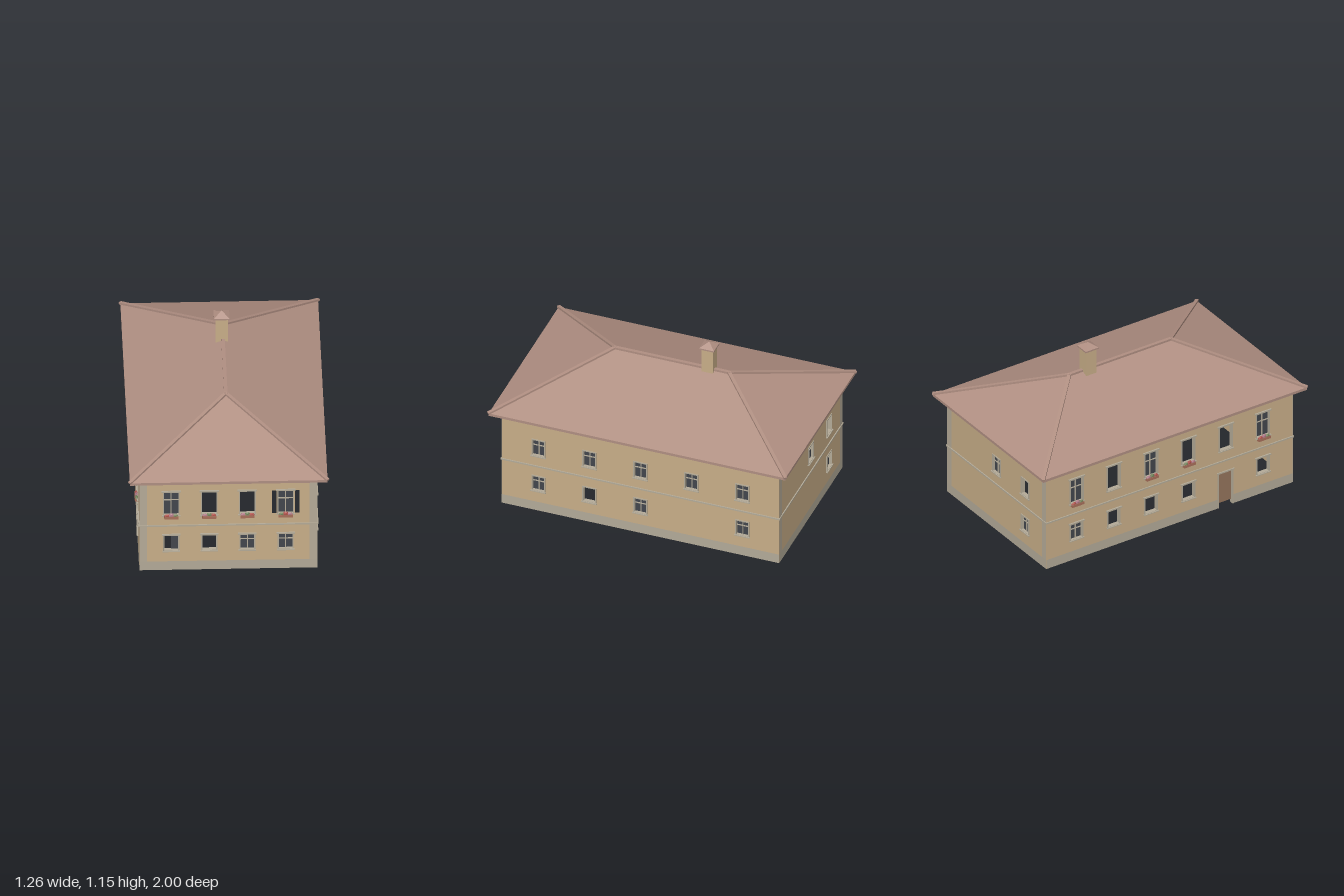
import * as THREE from 'three';

const mat = (color, extra = {}) => new THREE.MeshStandardMaterial({ color, roughness: 0.9, flatShading: true, ...extra });
const WALL = mat(0xc8ae88, { side: THREE.DoubleSide });
const TRIM = mat(0xb4ab98);
const QUOIN = mat(0xb5ab98, { side: THREE.DoubleSide });
const BASE = mat(0xb3aa98, { side: THREE.DoubleSide });
const ROOF = mat(0xb08f82);
const GLASS = mat(0x42464d);
const DOOR = mat(0x94745c);
const POT = mat(0xa86f5a);
const BLOOMS = [mat(0xb0524c), mat(0xb07a88), mat(0x74845c)];

const HX = 0.555, HZ = 0.925, WALL_TOP = 0.69, BASE_TOP = 0.065;

function add(parent, name, geo, material, x = 0, y = 0, z = 0) {
  const m = new THREE.Mesh(geo, material);
  m.name = name;
  m.position.set(x, y, z);
  parent.add(m);
  return m;
}
const box = (parent, name, material, w, h, d, x, y, z) =>
  add(parent, name, new THREE.BoxGeometry(w, h, d), material, x, y, z);

function rect(x0, y0, x1, y1, Type = THREE.Shape) {
  return new Type([[x0, y0], [x1, y0], [x1, y1], [x0, y1]].map(p => new THREE.Vector2(...p)));
}

// Flower box with three low mounds of blooms
function flowerBox(parent, u, y, k) {
  const g = new THREE.Group();
  g.name = 'flowerBox';
  box(g, 'planter', POT, 0.088, 0.018, 0.022, 0, -0.009, 0.013);
  for (let i = -1; i <= 1; i++) {
    const m = add(g, 'blooms', new THREE.IcosahedronGeometry(0.02, 0), BLOOMS[(i + 1 + k) % 3], i * 0.025, 0, 0.013);
    m.scale.set(1.05, i ? 0.75 : 1.15, 0.5);
  }
  g.position.set(u, y, 0);
  parent.add(g);
}

// Window: reveal frame, lintel, sill, and optional glazing (1 = full, 0.5 = one sash)
function windowUnit(parent, o) {
  const g = new THREE.Group();
  g.name = 'window';
  const { w, h } = o, f = 0.005;
  const frame = rect(-w / 2 - f, 0, w / 2 + f, h + f);
  frame.holes.push(rect(-w / 2 + f / 2, f / 2, w / 2 - f / 2, h - f / 2, THREE.Path));
  const frameGeo = new THREE.ExtrudeGeometry(frame, { depth: 0.028, bevelEnabled: false });
  add(g, 'frame', frameGeo, TRIM, 0, 0, -0.023);
  box(g, 'sill', TRIM, w + 0.02, 0.006, 0.016, 0, -0.003, 0.004);
  if (o.lintel) box(g, 'lintel', TRIM, w + 0.026, 0.009, 0.013, 0, h + 0.007, 0.004);
  if (o.glass) {
    const gw = w * o.glass, gx = (w - gw) / 2;
    box(g, 'glass', GLASS, gw, h, 0.006, gx, h / 2, -0.017);
    if (o.glass === 1) {
      box(g, 'mullion', TRIM, 0.006, h, 0.008, 0, h / 2, -0.012);
      box(g, 'transom', TRIM, w, 0.005, 0.008, 0, h * 0.63, -0.012);
    }
  }
  g.position.set(o.u, o.y, 0);
  parent.add(g);
  if (o.flowers !== undefined) flowerBox(parent, o.u, o.y, o.flowers);
}

// One wall plane with openings, plinth, corner strips and string course
function wall(root, name, half, dist, angle, windows, { door, slots = [], quoins } = {}) {
  const g = new THREE.Group();
  g.name = name;
  g.rotation.y = angle;
  g.position.set(Math.sin(angle) * dist, 0, Math.cos(angle) * dist);

  const dw = 0.055, dh = 0.25;
  const outline = (top, inset) => {
    const p = [[-half, 0]];
    if (door !== undefined) p.push([door - dw, 0], [door - dw, Math.min(top, dh)], [door + dw, Math.min(top, dh)], [door + dw, 0]);
    p.push([half, 0], [half, top], [-half, top]);
    return p.map(q => new THREE.Vector2(...q));
  };
  const shape = new THREE.Shape(outline(WALL_TOP));
  for (const o of windows) shape.holes.push(rect(o.u - o.w / 2, o.y, o.u + o.w / 2, o.y + o.h, THREE.Path));
  for (const s of slots) shape.holes.push(rect(s - 0.014, 0.417, s + 0.014, 0.586, THREE.Path));
  add(g, 'wallPanel', new THREE.ShapeGeometry(shape), WALL);

  // Plinth, split around a door
  const spans = door === undefined ? [[-half, half]] : [[-half, door - dw], [door + dw, half]];
  for (const [a, b] of spans)
    add(g, 'plinth', new THREE.ShapeGeometry(rect(a, 0, b, BASE_TOP)), BASE, 0, 0, 0.002);
  if (quoins) for (const s of [-1, 1])
    add(g, 'cornerStrip', new THREE.PlaneGeometry(0.048, WALL_TOP - BASE_TOP), QUOIN,
      s * (half - 0.024), (WALL_TOP + BASE_TOP) / 2, 0.002);
  box(g, 'stringCourse', TRIM, half * 2 + 0.012, 0.01, 0.008, 0, 0.335, 0.003);

  if (door !== undefined) {
    box(g, 'door', DOOR, dw * 2, dh - 0.025, 0.01, door, (dh + 0.025) / 2, -0.02);
    for (const s of [-1, 1]) box(g, 'doorJamb', TRIM, 0.007, dh, 0.03, door + s * dw, dh / 2, -0.01);
    box(g, 'doorLintel', TRIM, dw * 2 + 0.02, 0.01, 0.03, door, dh + 0.003, -0.008);
  }
  windows.forEach(o => windowUnit(g, o));
  root.add(g);
}

// Hipped roof from six triangles over a flat eaves slab
function roof(root) {
  const ex = 0.617, ez = 0.99, y0 = 0.703, y1 = 0.95, r = 0.38;
  const A = [-ex, y0, ez], B = [ex, y0, ez], C = [ex, y0, -ez], D = [-ex, y0, -ez];
  const R1 = [0, y1, r], R2 = [0, y1, -r];
  const tris = [A, B, R1, B, C, R2, B, R2, R1, C, D, R2, D, A, R1, D, R1, R2];
  const geo = new THREE.BufferGeometry();
  geo.setAttribute('position', new THREE.Float32BufferAttribute(tris.flat(), 3));
  geo.computeVertexNormals();
  const g = new THREE.Group();
  g.name = 'roof';
  add(g, 'roofSlopes', geo, ROOF);
  box(g, 'eaves', ROOF, ex * 2, 0.018, ez * 2, 0, 0.694, 0);
  // Ridge and hip caps
  for (const [p, q] of [[R1, R2], [A, R1], [B, R1], [C, R2], [D, R2]]) {
    const a = new THREE.Vector3(...p), b = new THREE.Vector3(...q);
    const cap = box(g, 'ridgeCap', ROOF, 0.022, 0.014, a.distanceTo(b) + 0.008, 0, 0, 0);
    cap.position.copy(a).add(b).multiplyScalar(0.5);
    cap.position.y += 0.003;
    cap.lookAt(b.x, b.y + 0.003, b.z);
  }
  root.add(g);
}

function chimney(root) {
  const g = new THREE.Group();
  g.name = 'chimney';
  box(g, 'chimneyStack', WALL, 0.076, 0.19, 0.076, 0, 1.015, 0);
  box(g, 'chimneyPlate', ROOF, 0.098, 0.01, 0.098, 0, 1.113, 0);
  const cap = add(g, 'chimneyCap', new THREE.ConeGeometry(0.049 * Math.SQRT2, 0.032, 4), ROOF, 0, 1.134, 0);
  cap.rotation.y = Math.PI / 4;
  g.position.set(-0.008, 0, -0.246);
  root.add(g);
}

export function createModel() {
  const root = new THREE.Group();
  root.name = 'house';
  const tall = (u, glass, flowers) => ({ u, y: 0.414, w: 0.095, h: 0.172, lintel: true, glass, flowers });
  const low = (u, glass) => ({ u, y: 0.146, w: 0.09, h: 0.114, lintel: true, glass });
  const small = (u, y, glass) => ({ u, y, w: 0.083, h: y > 0.3 ? 0.118 : 0.108, glass });

  wall(root, 'frontWall', HX, HZ, 0, [
    tall(-0.357, 1, 0), tall(-0.12, 0, 1), tall(0.118, 0, 1), tall(0.357, 1, 2),
    low(-0.357, 0.5), low(-0.12, 0), low(0.118, 1), low(0.357, 1),
  ], { slots: [0.286, 0.428], quoins: true });

  wall(root, 'leftWall', HZ, HX, Math.PI / 2, [
    ...[-0.68, -0.34, 0, 0.34, 0.68].map(u => small(u, 0.415, 1)),
    small(-0.68, 0.15, 1), small(-0.34, 0.15, 0), small(0, 0.15, 1), small(0.68, 0.15, 1),
  ]);

  wall(root, 'backWall', HX, HZ, Math.PI, [
    small(0, 0.415, 1), small(0.32, 0.415, 0), small(0.32, 0.15, 1),
  ], { quoins: true });

  wall(root, 'rightWall', HZ, HX, -Math.PI / 2, [
    tall(-0.7, 1, 0), tall(-0.42, 0), tall(-0.14, 1, 1), tall(0.14, 0, 2), tall(0.42, 0), tall(0.7, 1, 0),
    low(-0.7, 1), low(-0.42, 0), low(-0.14, 0), low(0.14, 0), low(0.7, 0),
  ], { door: 0.42 });

  roof(root);
  chimney(root);
  return root;
}
